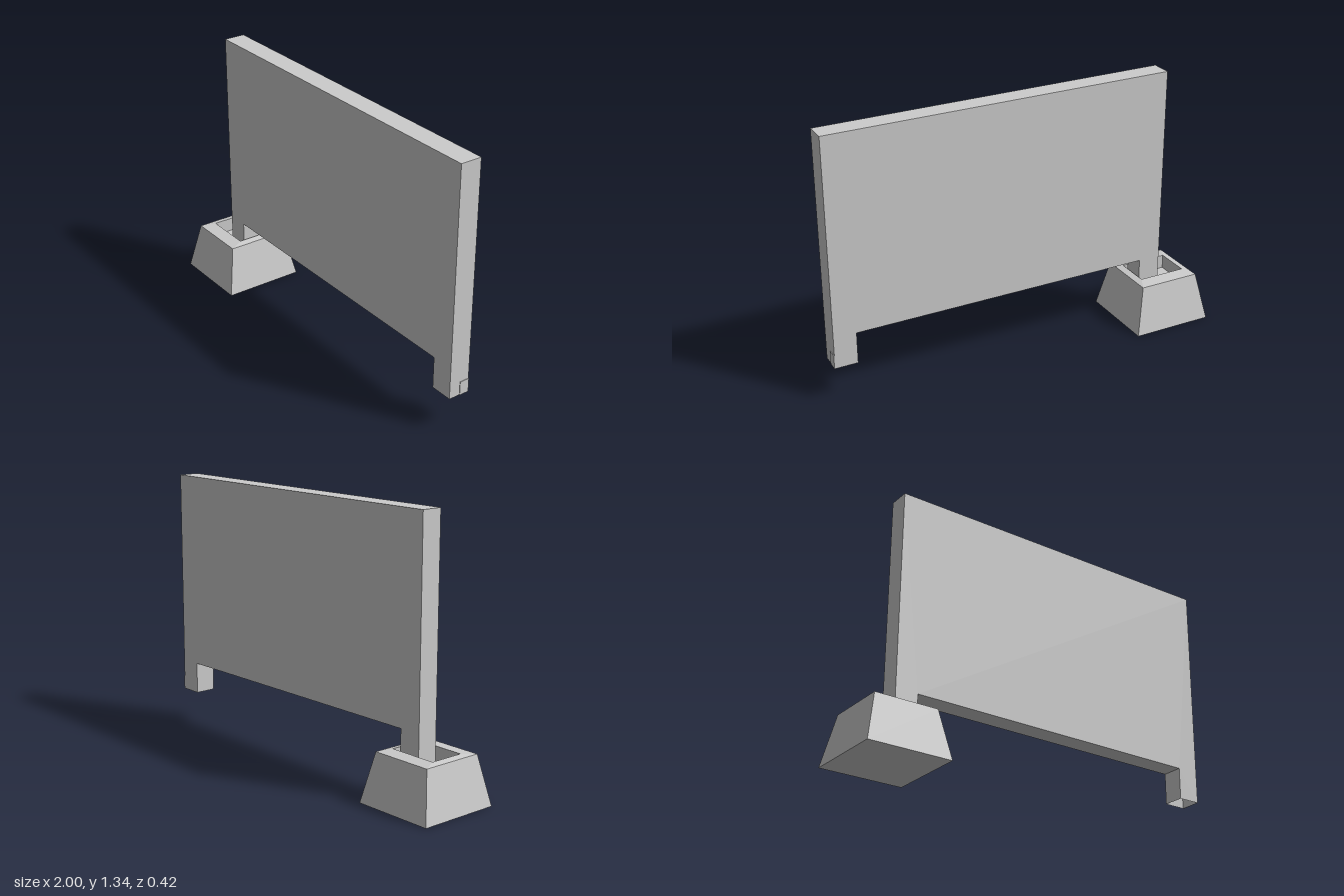
import * as THREE from 'three';

const material = new THREE.MeshStandardMaterial({ color: 0xcccccc, flatShading: true, side: THREE.DoubleSide });

function addMesh(parent, name, geometry) {
  const mesh = new THREE.Mesh(geometry, material);
  mesh.name = name;
  parent.add(mesh);
  return mesh;
}

// Skin over stacked rectangles [halfX, halfZ, y], closed at both ends
function rectLoft(rings) {
  const points = [];
  const corner = ([hx, hz, y], i) => [[hx, y, hz], [hx, y, -hz], [-hx, y, -hz], [-hx, y, hz]][i % 4];
  const quad = (a, b, c, d) => points.push(...a, ...b, ...c, ...a, ...c, ...d);
  for (let r = 0; r < rings.length - 1; r++) {
    for (let i = 0; i < 4; i++) {
      quad(corner(rings[r], i), corner(rings[r], i + 1), corner(rings[r + 1], i + 1), corner(rings[r + 1], i));
    }
  }
  const first = rings[0], last = rings[rings.length - 1];
  quad(corner(first, 3), corner(first, 2), corner(first, 1), corner(first, 0));
  quad(corner(last, 0), corner(last, 1), corner(last, 2), corner(last, 3));
  const geometry = new THREE.BufferGeometry();
  geometry.setAttribute('position', new THREE.Float32BufferAttribute(points, 3));
  geometry.computeVertexNormals();
  return geometry;
}

// Drop the faces lying in the plane y = level
function openAt(geometry, level) {
  const source = geometry.toNonIndexed().getAttribute('position');
  const kept = [];
  for (let i = 0; i < source.count; i += 3) {
    const ids = [i, i + 1, i + 2];
    if (ids.every((k) => Math.abs(source.getY(k) - level) < 1e-4)) continue;
    ids.forEach((k) => kept.push(source.getX(k), source.getY(k), source.getZ(k)));
  }
  const result = new THREE.BufferGeometry();
  result.setAttribute('position', new THREE.Float32BufferAttribute(kept, 3));
  result.computeVertexNormals();
  return result;
}

export function createModel() {
  const group = new THREE.Group();
  group.name = 'barrierPanel';

  // Tapered foot with a shallow rectangular socket in its top
  const foot = addMesh(group, 'foot', rectLoft([
    [0.21, 0.21, 0],
    [0.16, 0.16, 0.245],
    [0.124, 0.088, 0.252],
    [0.124, 0.088, 0.18],
  ]));
  foot.position.x = -0.79;

  // Hollow board with two short legs, open underneath
  const left = -0.79, right = 0.997, legWidth = 0.115;
  const legBottom = 0.18, boardBottom = 0.341, top = 1.343;
  const outline = new THREE.Shape([
    [left, legBottom], [left + legWidth, legBottom], [left + legWidth, boardBottom],
    [right - legWidth, boardBottom], [right - legWidth, legBottom], [right, legBottom],
    [right, top], [left, top],
  ].map(([x, y]) => new THREE.Vector2(x, y)));
  const board = new THREE.ExtrudeGeometry(outline, { depth: 0.108, bevelEnabled: false });
  board.translate(0, 0, -0.049);
  addMesh(group, 'boardWithLegs', openAt(board, legBottom));

  // Thin plate on the outer face of the free leg
  const plate = addMesh(group, 'legPlate', new THREE.BoxGeometry(0.003, 0.07, 0.05));
  plate.position.set(0.9985, 0.215, -0.024);

  return group;
}
